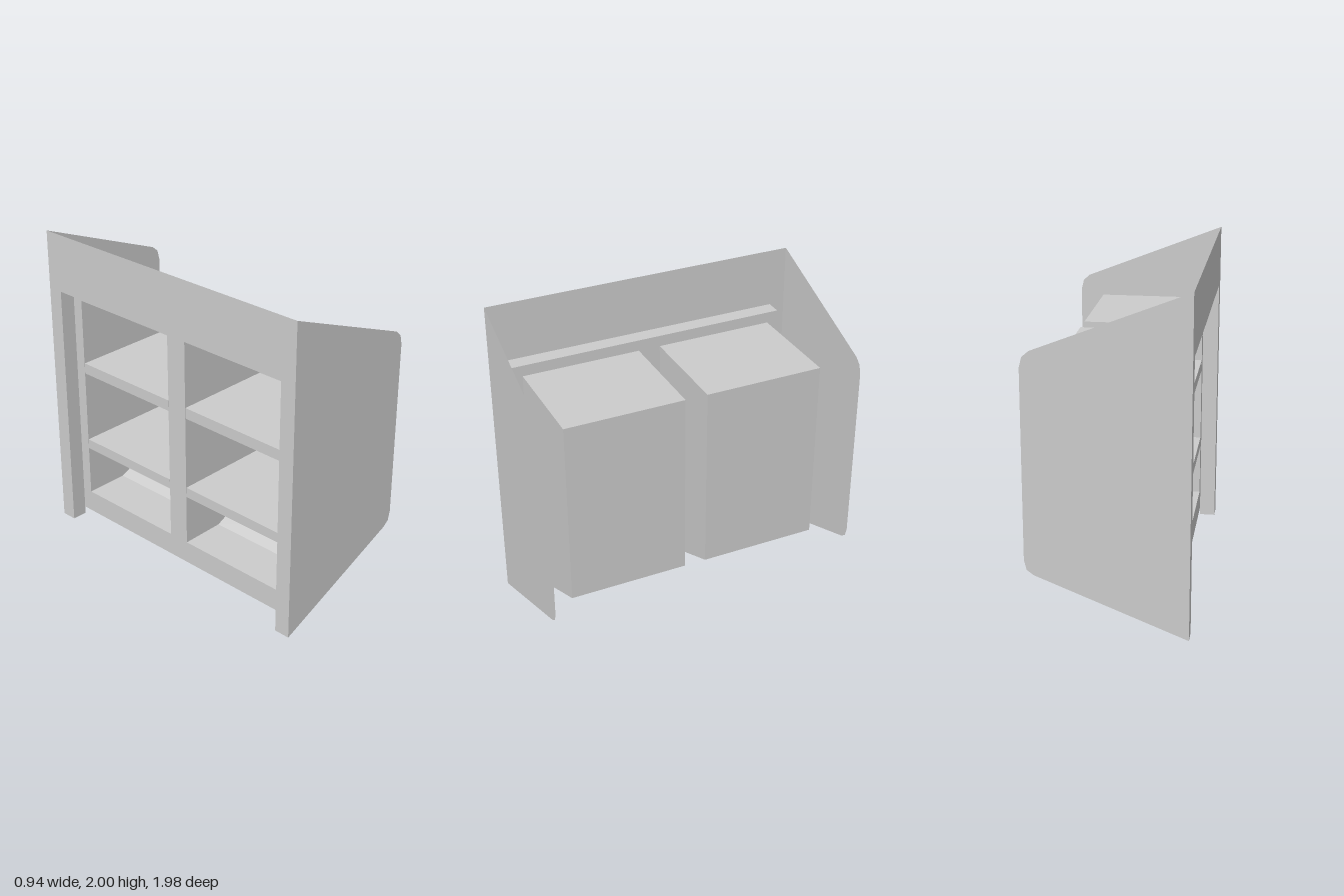
import * as THREE from 'three';

const material = new THREE.MeshStandardMaterial({ color: 0xcccccc, side: THREE.DoubleSide });

const BACK = -0.47, FACE = -0.37, FRONT = 0.29; // x of back sheet, recessed panel, bin fronts
const HALF = 0.99, INNER = 0.89;                // z of side panels and recess walls
const RECESS_TOP = 1.63, PANEL_BOTTOM = 0.05;
const BIN_IN = 0.07, BIN_OUT = 0.82, BIN_TOP = 1.56, BIN_BOTTOM = 0.195;

const toPoints = (list) => list.map(([x, y]) => new THREE.Vector2(x, y));

function add(group, name, geometry) {
  const mesh = new THREE.Mesh(geometry, material);
  mesh.name = name;
  group.add(mesh);
  return mesh;
}

// Flat sheet from an outline, with optional holes
function sheet(outline, holes = []) {
  const shape = new THREE.Shape(toPoints(outline));
  holes.forEach((h) => shape.holes.push(new THREE.Path(toPoints(h))));
  return new THREE.ShapeGeometry(shape);
}

// Folded sheet: an open profile in x,y swept from z0 to z1
function foldedSheet(profile, z0, z1) {
  const pos = [];
  for (let i = 0; i < profile.length - 1; i++) {
    const [ax, ay] = profile[i], [bx, by] = profile[i + 1];
    pos.push(ax, ay, z0, bx, by, z0, bx, by, z1, ax, ay, z0, bx, by, z1, ax, ay, z1);
  }
  const geometry = new THREE.BufferGeometry();
  geometry.setAttribute('position', new THREE.Float32BufferAttribute(pos, 3));
  geometry.computeVertexNormals();
  return geometry;
}

const rect = (x0, y0, x1, y1) => [[x0, y0], [x1, y0], [x1, y1], [x0, y1]];

export function createModel() {
  const model = new THREE.Group();
  model.name = 'shelfCabinet';

  // Side panels with sloped ends and clipped front corners
  const sideOutline = [
    [BACK, 0], [0.41, 0.35], [0.45, 0.38], [0.465, 0.44],
    [0.465, 1.56], [0.45, 1.62], [0.41, 1.655], [BACK, 2],
  ];
  for (const s of [-1, 1]) {
    add(model, s > 0 ? 'sidePanelPositiveZ' : 'sidePanelNegativeZ', sheet(sideOutline)).position.z = s * HALF;
  }

  // Surround: header and two stiles, open at the floor
  const surround = sheet([
    [-HALF, 0], [-INNER, 0], [-INNER, RECESS_TOP], [INNER, RECESS_TOP],
    [INNER, 0], [HALF, 0], [HALF, 2], [-HALF, 2],
  ]).rotateY(-Math.PI / 2);
  add(model, 'surround', surround).position.x = BACK;

  // Walls joining the surround to the recessed panel
  const recess = foldedSheet(
    [[-INNER, 0], [-INNER, RECESS_TOP], [INNER, RECESS_TOP], [INNER, 0]], -FACE, -BACK);
  add(model, 'recessWalls', recess.rotateY(-Math.PI / 2));

  // Recessed panel with an opening for each bin
  const panel = sheet(rect(-INNER, PANEL_BOTTOM, INNER, RECESS_TOP), [
    rect(-BIN_OUT, BIN_BOTTOM, -BIN_IN, BIN_TOP),
    rect(BIN_IN, BIN_BOTTOM, BIN_OUT, BIN_TOP),
  ]).rotateY(-Math.PI / 2);
  add(model, 'recessedPanel', panel).position.x = FACE;

  // Bins: hollow bodies with a sloped underside and two shelves each
  const binProfile = [
    [FACE, BIN_BOTTOM], [-0.085, BIN_BOTTOM], [FRONT, 0.37], [FRONT, BIN_TOP], [FACE, BIN_TOP],
  ];
  for (const s of [-1, 1]) {
    const bin = new THREE.Group();
    bin.name = s > 0 ? 'binPositiveZ' : 'binNegativeZ';
    const z0 = s > 0 ? BIN_IN : -BIN_OUT, z1 = s > 0 ? BIN_OUT : -BIN_IN;
    add(bin, 'binShell', foldedSheet(binProfile, z0, z1));
    for (const z of [z0, z1]) add(bin, 'binSide', sheet(binProfile)).position.z = z;
    for (const [low, high] of [[0.525, 0.59], [1.065, 1.135]]) {
      const depth = FRONT - FACE - 0.004;
      const shelf = new THREE.BoxGeometry(depth, high - low, z1 - z0 - 0.004);
      add(bin, 'shelf', shelf).position.set(FACE + depth / 2, (low + high) / 2, (z0 + z1) / 2);
    }
    model.add(bin);
  }
  return model;
}
